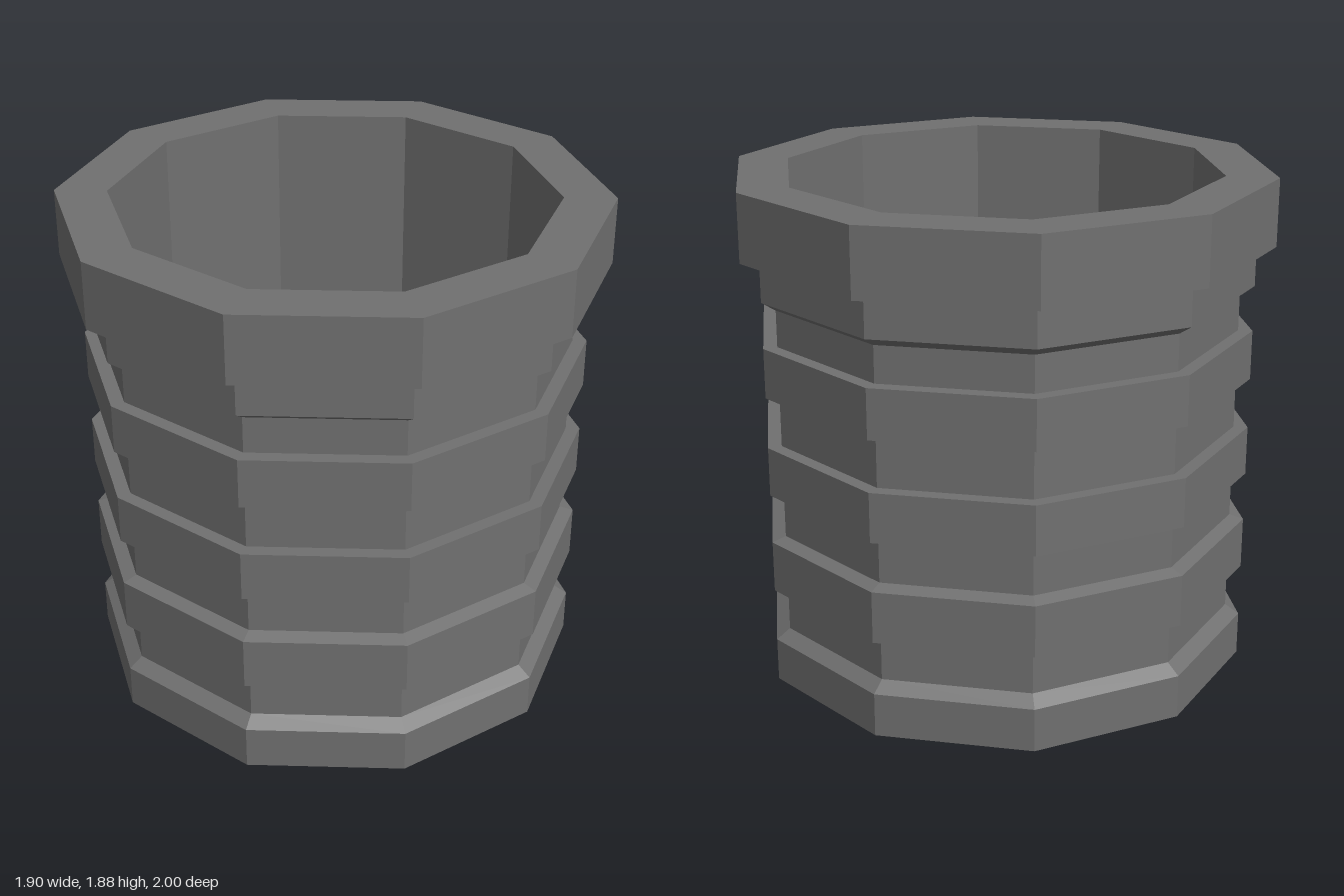
import * as THREE from 'three';

const SIDES = 10;
const RIB = 0.93, GROOVE = 0.878, RIM = 1, INNER = 0.81;
const HEIGHT = 1.875, RIM_BASE = 1.625, FLOOR = 0.1;

// Ten-sided faceted solid of revolution from [radius, y] pairs
function facetedLathe(name, profile, material) {
  const points = profile.map(([r, y]) => new THREE.Vector2(r, y));
  const geometry = new THREE.LatheGeometry(points, SIDES).toNonIndexed();
  geometry.computeVertexNormals();
  const mesh = new THREE.Mesh(geometry, material);
  mesh.name = name;
  return mesh;
}

export function createModel() {
  const group = new THREE.Group();
  group.name = 'ribbedContainer';
  // Dark grey throughout
  const material = new THREE.MeshStandardMaterial({ color: 0x707070, flatShading: true });

  // Ribs: lower groove end, lower rib edge, upper rib edge, upper groove start
  const ribs = [
    [0.367, 0.367, 0.561, 0.577],
    [0.747, 0.747, 0.932, 0.932],
    [1.105, 1.122, 1.307, 1.307],
  ];

  // Outer wall, from the closed base up to the rim
  const wall = [[0, 0], [RIB, 0], [RIB, 0.164], [GROOVE, 0.2]];
  for (const [a, b, c, d] of ribs) {
    wall.push([GROOVE, a], [RIB, b], [RIB, c], [GROOVE, d]);
  }
  wall.push([GROOVE, 1.442], [RIB, 1.476], [RIB, RIM_BASE]);
  group.add(facetedLathe('ribbedBody', wall, material));

  // Overhanging rim band with its flat lip
  group.add(facetedLathe('rim', [
    [RIB, RIM_BASE], [RIM, RIM_BASE], [RIM, HEIGHT], [INNER, HEIGHT],
  ], material));

  // Straight inner wall and floor
  group.add(facetedLathe('hollowInterior', [
    [INNER, HEIGHT], [INNER, FLOOR], [0, FLOOR],
  ], material));

  return group;
}
